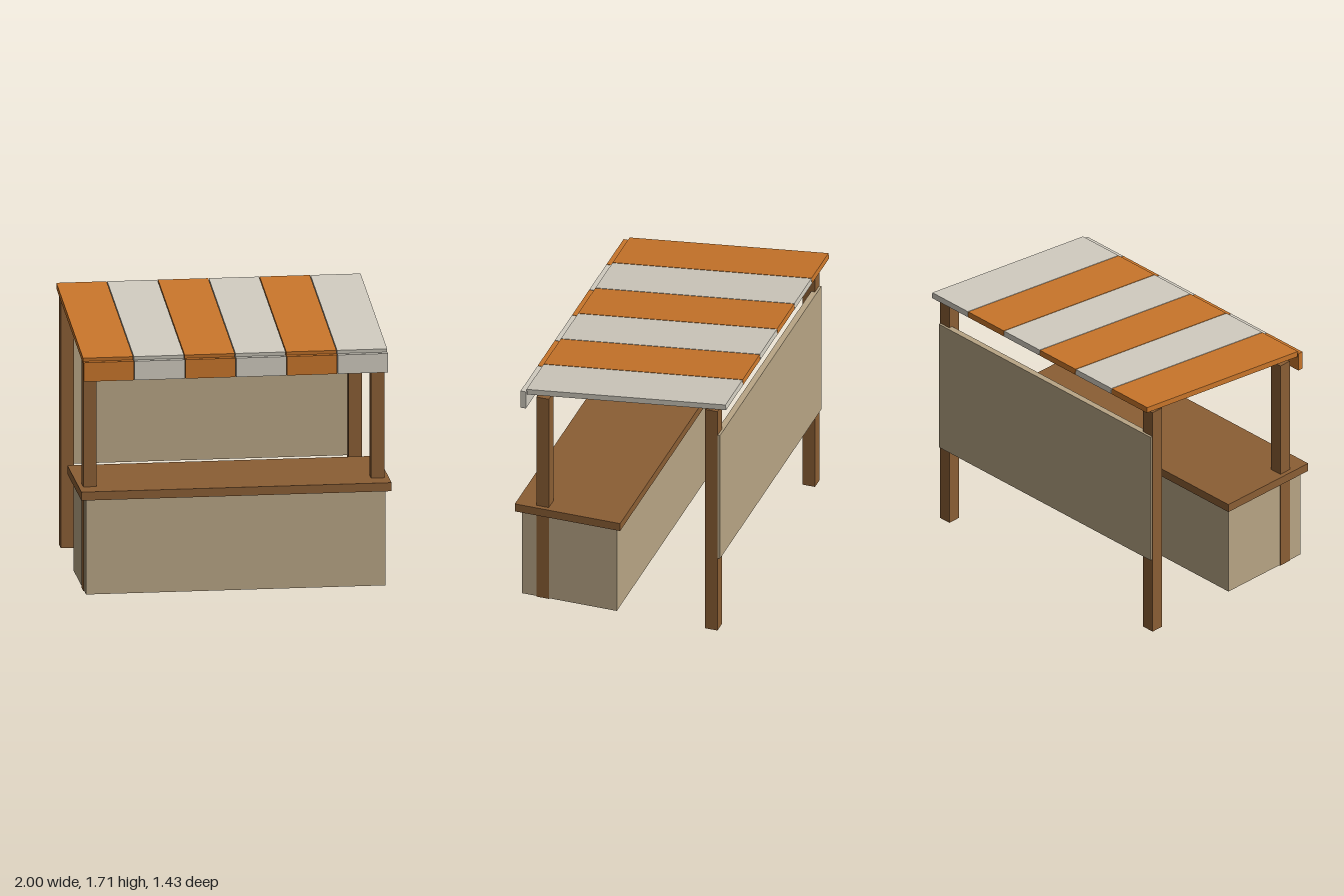
import * as THREE from 'three';

const material = (color) => new THREE.MeshStandardMaterial({ color, flatShading: true });

export function createModel() {
  const stall = new THREE.Group();
  stall.name = 'marketStall';

  const wood = material(0x8b5e34);
  const board = material(0xb8a585);
  const orange = material(0xc8752a);
  const cream = material(0xd0cbbf);

  // Box given by its extents on each axis
  function box(name, mat, [x0, x1], [y0, y1], [z0, z1]) {
    const mesh = new THREE.Mesh(new THREE.BoxGeometry(x1 - x0, y1 - y0, z1 - z0), mat);
    mesh.position.set((x0 + x1) / 2, (y0 + y1) / 2, (z0 + z1) / 2);
    mesh.name = name;
    stall.add(mesh);
    return mesh;
  }

  // Counter: solid base with an overhanging top
  box('counterBase', board, [-0.965, 0.965], [0.002, 0.63], [0.035, 0.68]);
  box('counterTop', wood, [-1, 1], [0.63, 0.686], [0, 0.715]);

  // Corner posts, taller at the back
  for (const side of [-1, 1]) {
    const x = [side * 0.927 - 0.043, side * 0.927 + 0.043];
    const label = side > 0 ? 'Left' : 'Right';
    box('frontPost' + label, wood, x, [0, 1.5], [0.495, 0.58]);
    box('backPost' + label, wood, x, [0, 1.645], [-0.65, -0.565]);
  }

  // Back panel fixed to the rear posts
  box('backPanel', board, [-0.965, 0.965], [0.54, 1.465], [-0.665, -0.625]);

  // Striped sloping canopy with a hanging front valance
  const count = 6, pitch = 0.3275, half = 0.1615;
  for (let i = 0; i < count; i++) {
    const cx = (i - (count - 1) / 2) * pitch;
    const mat = i % 2 ? cream : orange;
    const x = [cx - half, cx + half];
    const strip = box('canopyStrip' + (i + 1), mat, x, [1.594, 1.632], [-0.715, 0.645]);
    strip.rotation.x = 0.12;
    box('valance' + (i + 1), mat, x, [1.405, 1.53], [0.647, 0.683]);
  }

  return stall;
}
